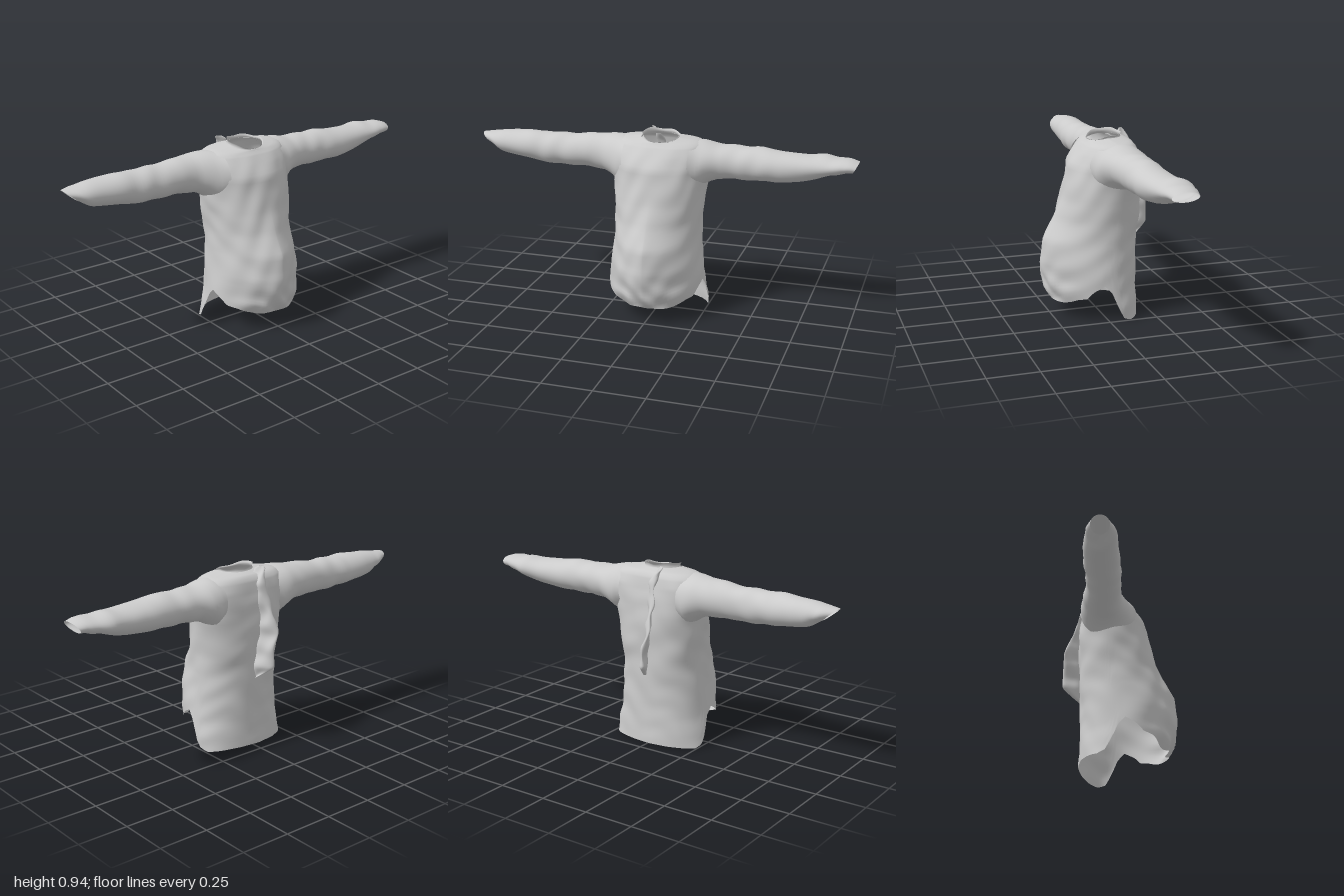
import * as THREE from 'three';

const material = new THREE.MeshStandardMaterial({ color: 0xcccccc, side: THREE.DoubleSide, roughness: 0.9 });

// Linear lookup in rows [key, v1, v2, ...] sorted by key
function lookup(rows, k) {
  let i = 0;
  while (i < rows.length - 2 && k > rows[i + 1][0]) i++;
  const a = rows[i], b = rows[i + 1];
  const t = Math.min(1, Math.max(0, (k - a[0]) / (b[0] - a[0])));
  return a.slice(1).map((v, n) => v + (b[n + 1] - v) * t);
}

// Soft irregular cloth wrinkles, about -1 to 1
const wrinkle = (x, y, z) =>
  0.45 * Math.sin(15 * x + 11 * y + 2 * Math.sin(9 * y - 7 * z)) +
  0.3 * Math.sin(29 * x - 21 * y + 25 * z + 2 * Math.sin(13 * x + 1)) +
  0.25 * Math.sin(43 * y + 31 * z - 19 * x + 1.5 * Math.sin(21 * x + 8 * y));

const power = (v, p) => Math.sign(v) * Math.abs(v) ** p;

// Skin over closed rings of points; quads for which skip(centre) holds are left out
function loft(name, rings, skip = () => false) {
  const n = rings[0].length, index = [];
  for (let i = 0; i < rings.length - 1; i++) {
    for (let j = 0; j < n; j++) {
      const k = (j + 1) % n;
      const centre = rings[i][j].clone().add(rings[i + 1][k]).multiplyScalar(0.5);
      if (skip(centre)) continue;
      const a = i * n + j, b = i * n + k, c = a + n, d = b + n;
      index.push(a, c, b, b, c, d);
    }
  }
  const geometry = new THREE.BufferGeometry().setFromPoints(rings.flat());
  geometry.setIndex(index);
  geometry.computeVertexNormals();
  const mesh = new THREE.Mesh(geometry, material);
  mesh.name = name;
  return mesh;
}

// Torso: height, half width, middle z, front z, back z, front taper, back taper
const torsoRows = [
  [0.00, 0.268, -0.02, 0.22, -0.20, 1.2, 0.8],
  [0.08, 0.262, 0.00, 0.24, -0.20, 1.25, 0.8],
  [0.15, 0.248, 0.01, 0.275, -0.197, 1.3, 0.82],
  [0.28, 0.235, 0.00, 0.297, -0.197, 1.3, 0.85],
  [0.40, 0.222, -0.02, 0.278, -0.202, 1.2, 0.85],
  [0.50, 0.222, -0.03, 0.222, -0.208, 1.1, 0.82],
  [0.60, 0.23, -0.04, 0.185, -0.21, 1.05, 0.75],
  [0.70, 0.245, -0.05, 0.158, -0.21, 1, 0.7],
  [0.78, 0.25, -0.06, 0.138, -0.202, 0.95, 0.68],
  [0.84, 0.245, -0.07, 0.10, -0.193, 0.9, 0.68],
  [0.88, 0.235, -0.07, 0.068, -0.18, 0.85, 0.75],
  [0.90, 0.21, -0.06, 0.052, -0.165, 0.85, 0.8],
  [0.908, 0.15, -0.045, 0.048, -0.145, 0.95, 0.9],
  [0.915, 0.095, -0.035, 0.044, -0.122, 1, 1]
];
// Hem height by z: long back tail, arched sides, gathered front
const hemRows = [
  [-0.20, 0.015], [-0.10, 0.004], [-0.06, 0.02], [-0.04, 0.07], [-0.02, 0.15], [0.02, 0.195],
  [0.06, 0.17], [0.10, 0.13], [0.15, 0.12], [0.20, 0.10], [0.23, 0.085], [0.30, 0.10]
];
const TOP = 0.915;

function torsoPoint(a, y) {
  const [hw, mid, front, back, taper, backTaper] = lookup(torsoRows, y);
  const s = Math.sin(a), c = Math.cos(a);
  // The left flank is drawn flatter at waist height
  const flank = c > 0 ? 0.25 * Math.exp(-(((y - 0.45) / 0.16) ** 2)) : 0;
  return s > 0
    ? new THREE.Vector3(hw * power(c, taper + flank), y, mid + (front - mid) * s)
    : new THREE.Vector3(hw * power(c, backTaper), y, mid + (mid - back) * power(s, (1 + backTaper) / 2));
}

function torso() {
  const heights = [];
  for (let y = 0; y < 0.86; y += 0.02) heights.push(y);
  heights.push(0.87, 0.88, 0.89, 0.9, 0.904, 0.908, TOP);
  const rings = heights.map(h => Array.from({ length: 88 }, (_, j) => {
    const a = (j / 88) * Math.PI * 2;
    const [hem] = lookup(hemRows, torsoPoint(a, 0.1).z);
    const y = hem + h * (1 - hem / TOP);
    const p = torsoPoint(a, y);
    // Folds, stronger where the front hem bunches up
    const bunch = Math.max(0, Math.sin(a)) * Math.max(0, 1 - y / 0.26);
    const w = wrinkle(p.x, p.y, p.z) * 0.007 * Math.min(1, (TOP - y) * 12);
    const crumple = bunch * 0.022 * Math.sin(31 * p.x + 52 * y + 2 * Math.sin(17 * p.x));
    // The neckline dips at the front
    const dip = 0.014 * Math.max(0, Math.sin(a)) * Math.max(0, (h - 0.87) / 0.045);
    p.x += Math.cos(a) * w;
    p.z += Math.sin(a) * w + crumple;
    p.y += crumple * 0.5 - dip;
    return p;
  }));
  const inArmhole = p => Math.abs(p.x) > 0.15 && Math.hypot((p.y - 0.79) / 0.095, (p.z + 0.075) / 0.1) < 1;
  return loft('torso', rings, inArmhole);
}

// Sleeves: distance from the middle, bottom y, top y, back z, front z
const leftRows = [
  [0.17, 0.67, 0.902, -0.19, 0.082], [0.21, 0.66, 0.902, -0.202, 0.06], [0.25, 0.695, 0.897, -0.203, 0.042],
  [0.30, 0.715, 0.89, -0.195, 0.025], [0.40, 0.715, 0.885, -0.185, 0.015], [0.50, 0.71, 0.88, -0.175, 0.015],
  [0.62, 0.72, 0.872, -0.178, 0.01], [0.72, 0.735, 0.87, -0.185, 0.00], [0.82, 0.755, 0.867, -0.198, -0.005],
  [0.90, 0.775, 0.86, -0.175, -0.01], [0.96, 0.79, 0.856, -0.16, -0.015], [0.995, 0.793, 0.846, -0.155, -0.025]
];
const rightRows = [
  [0.17, 0.66, 0.904, -0.19, 0.082], [0.21, 0.65, 0.904, -0.195, 0.06], [0.25, 0.68, 0.90, -0.195, 0.042],
  [0.30, 0.70, 0.892, -0.185, 0.02], [0.42, 0.713, 0.885, -0.175, 0.005], [0.55, 0.715, 0.882, -0.17, 0.00],
  [0.68, 0.72, 0.875, -0.17, 0.00], [0.80, 0.735, 0.872, -0.18, -0.01], [0.88, 0.75, 0.87, -0.175, -0.015],
  [0.94, 0.772, 0.862, -0.165, -0.02], [1.00, 0.79, 0.85, -0.14, -0.05]
];

function sleeve(name, side, rows, slant) {
  const start = rows[0][0], end = rows.at(-1)[0];
  const rings = Array.from({ length: 45 }, (_, i) => {
    const d = start + (end - start) * (i / 44);
    const [low, high, back, front] = lookup(rows, d);
    const fade = Math.min(1, (end - d) * 10 + 0.2);
    const cuff = Math.max(0, 1 - (end - d) / 0.15);
    return Array.from({ length: 36 }, (_, j) => {
      const a = (j / 36) * Math.PI * 2, c = Math.cos(a), s = -side * Math.sin(a);
      const y = (low + high) / 2 + c * (high - low) / 2;
      const z = (front + back) / 2 + s * (front - back) / 2;
      const w = wrinkle(side * d, y * 0.7, z * 0.7) * 0.007 * fade;
      // The cuff is cut at a slant, shorter underneath
      const cut = cuff * slant * (1 - c) / 2;
      return new THREE.Vector3(side * (d - cut), y + c * w, z + s * w);
    });
  });
  return loft(name, rings);
}

// Thin upright neckband, low in front and crumpled up on the right
function collar() {
  const rings = [[0, 1.08], [0.35, 1.0], [0.7, 0.98], [1, 1.04]].map(([t, r]) =>
    Array.from({ length: 48 }, (_, j) => {
      const a = (j / 48) * Math.PI * 2, s = Math.sin(a), c = Math.cos(a);
      const base = 0.907 - 0.014 * Math.max(0, s);
      const rise = 0.017 - 0.008 * s + 0.012 * Math.max(0, -c) + 0.003 * Math.sin(5 * a + 1);
      return new THREE.Vector3(0.005 + 0.092 * r * c, base + t * rise, -0.04 + 0.084 * r * s);
    }));
  return loft('collar', rings);
}

// Loose gathered fold standing out from the middle of the back
// height, root z, outer z, root x, outer x, half thickness
const foldRows = [
  [0.375, -0.195, -0.205, 0.00, 0.00, 0.004], [0.41, -0.195, -0.255, 0.00, -0.02, 0.018],
  [0.44, -0.195, -0.292, 0.00, -0.035, 0.022], [0.54, -0.195, -0.290, -0.01, -0.05, 0.018],
  [0.62, -0.195, -0.285, -0.02, -0.07, 0.022], [0.68, -0.195, -0.265, -0.02, -0.075, 0.018],
  [0.74, -0.19, -0.238, -0.02, -0.065, 0.02], [0.80, -0.185, -0.22, -0.02, -0.055, 0.024],
  [0.86, -0.165, -0.208, -0.025, -0.055, 0.026], [0.90, -0.135, -0.19, -0.035, -0.06, 0.022],
  [0.925, -0.135, -0.176, -0.05, -0.075, 0.016], [0.935, -0.148, -0.165, -0.065, -0.075, 0.006]
];

function backFold() {
  const rings = Array.from({ length: 57 }, (_, i) => {
    const y = 0.375 + 0.01 * i;
    const [rootZ, outZ, rootX, outX, thick] = lookup(foldRows, y);
    return Array.from({ length: 20 }, (_, j) => {
      const a = (j / 20) * Math.PI * 2, t = 0.5 + 0.5 * Math.sin(a);
      const z = outZ + (rootZ - outZ) * t;
      const wave = 0.007 * Math.sin(38 * y + 4 * t) * (1 - t);
      // A groove pinches each side of the fold
      const half = thick * Math.cos(a) * (1 - 0.35 * Math.sin(Math.PI * t) + 0.25 * Math.sin(60 * y));
      return new THREE.Vector3(outX + (rootX - outX) * t + wave + half, y, z);
    });
  });
  return loft('backFold', rings);
}

export function createModel() {
  const shirt = new THREE.Group();
  shirt.name = 'shirt';
  shirt.add(
    torso(), collar(), backFold(),
    sleeve('leftSleeve', 1, leftRows, 0.03), sleeve('rightSleeve', -1, rightRows, 0.07)
  );
  return shirt;
}
